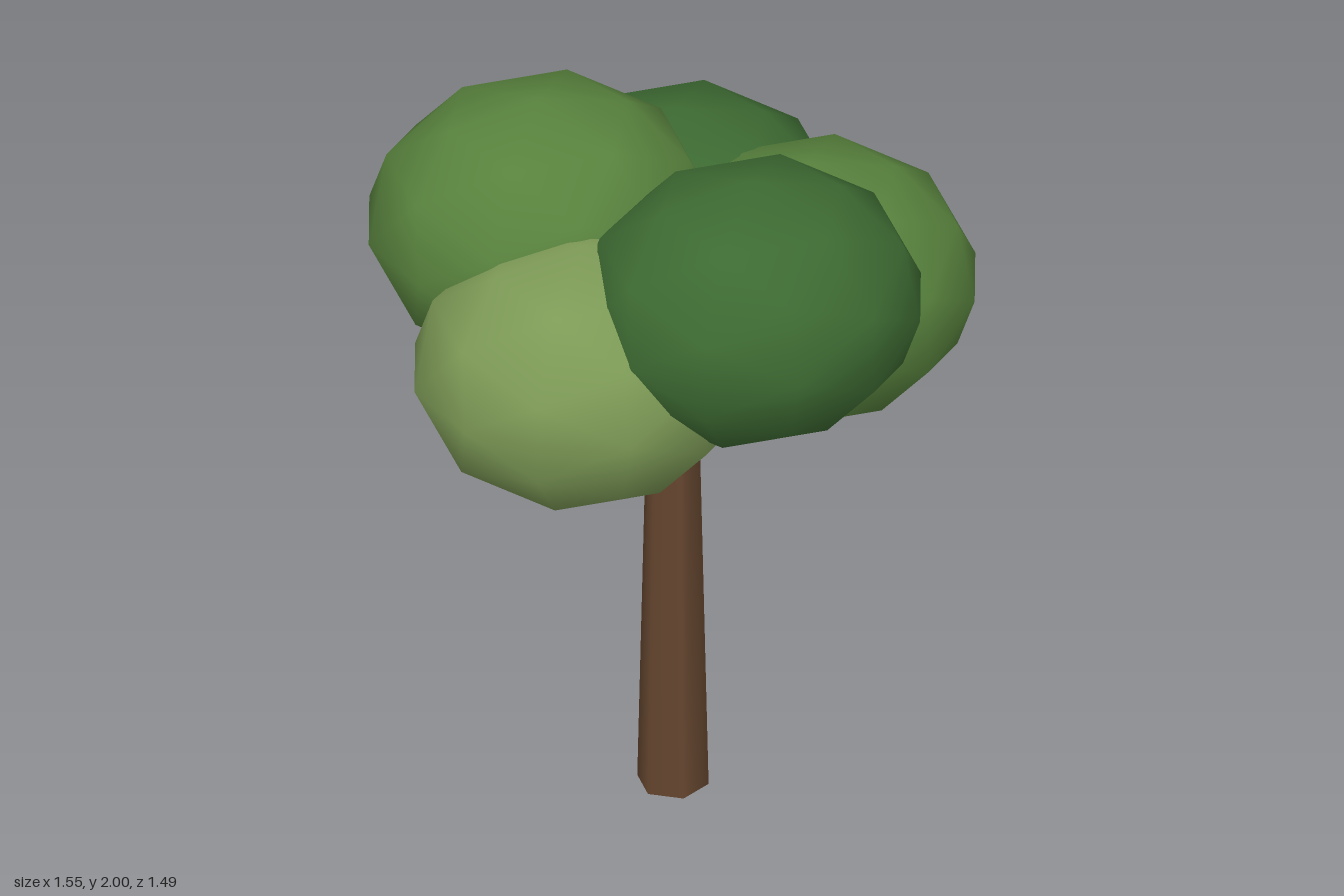
import * as THREE from 'three';

const material = (color) => new THREE.MeshStandardMaterial({ color });

export function createModel() {
  const tree = new THREE.Group();
  tree.name = 'tree';

  const add = (name, geometry, mat, x, y, z) => {
    const mesh = new THREE.Mesh(geometry, mat);
    mesh.name = name;
    mesh.position.set(x, y, z);
    tree.add(mesh);
    return mesh;
  };

  // Tapered six-sided trunk, running up into the crown
  const trunkHeight = 1.5;
  add('trunk', new THREE.CylinderGeometry(0.06, 0.093, trunkHeight, 6),
    material(0x65462f), -0.03, trunkHeight / 2, 0.007);

  // Crown: five overlapping flattened low-poly balls with soft normals
  const ball = new THREE.IcosahedronGeometry(1, 1);
  const darkGreen = material(0x3d6a32);
  const midGreen = material(0x58823d);
  const paleGreen = material(0x7d9a56);
  const clumps = [
    ['frontFoliage', darkGreen, 0.08, 1.64, 0.33],
    ['backFoliage', darkGreen, 0.08, 1.445, -0.335],
    ['upperRightFoliage', midGreen, -0.325, 1.64, -0.2],
    ['lowerRightFoliage', paleGreen, -0.325, 1.445, 0.2],
    ['leftFoliage', midGreen, 0.325, 1.445, 0],
  ];
  for (const [name, mat, x, y, z] of clumps) {
    add(name, ball, mat, x, y, z).scale.set(0.45, 0.36, 0.41);
  }

  // Small pale pebble-like tip resting between two clumps
  const tip = add('paleTip', new THREE.SphereGeometry(1, 10, 8),
    material(0xcccccc), 0.28, 1.805, 0.03);
  tip.scale.set(0.036, 0.022, 0.02);
  tip.rotation.y = -0.65;

  return tree;
}
